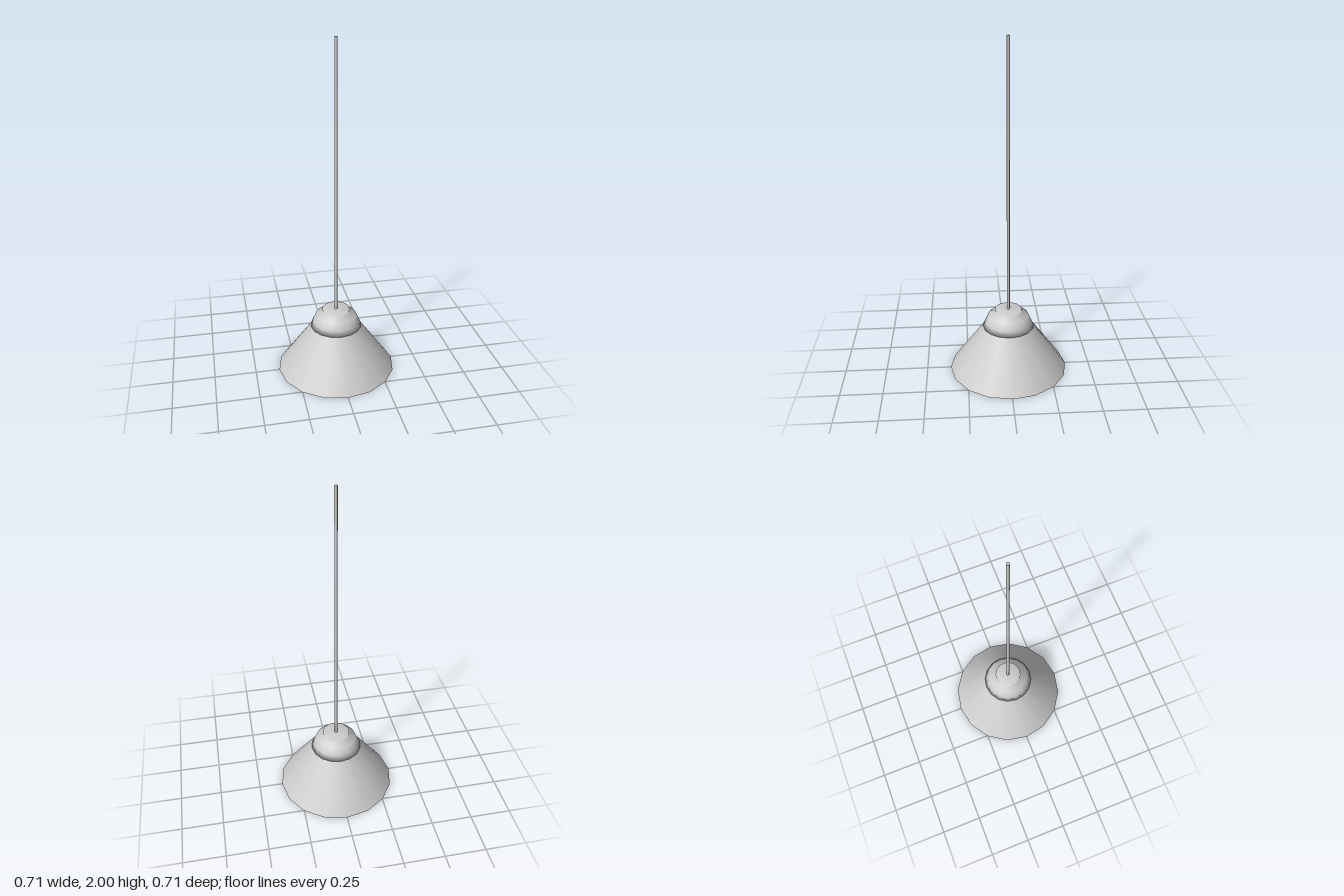
import * as THREE from 'three';

const SIDES = 16;

export function createModel() {
  const group = new THREE.Group();
  const material = new THREE.MeshStandardMaterial({ color: 0xcccccc, side: THREE.DoubleSide });

  const add = (name, geometry, y = 0) => {
    const mesh = new THREE.Mesh(geometry, material);
    mesh.name = name;
    mesh.position.y = y;
    group.add(mesh);
  };

  // Turned part from [radius, height] points, outer surface listed bottom to top
  const turned = (name, points) =>
    add(name, new THREE.LatheGeometry(points.map(([r, y]) => new THREE.Vector2(r, y)), SIDES));

  // Conical shade: sharp outer wall, flat lip, inner wall rounding into the lip
  turned('shadeOuter', [[0.356, 0], [0.152, 0.283]]);
  turned('shadeLip', [[0.332, 0.004], [0.356, 0]]);
  turned('shadeInner', [[0.13, 0.272], [0.314, 0.026], [0.332, 0.004]]);

  // Rounded cap closing the shade, running smoothly into the flat-topped collar
  turned('cap', [
    [0.1, 0.283], [0.154, 0.283], [0.14, 0.316], [0.122, 0.356],
    [0.081, 0.372], [0.082, 0.394], [0, 0.394],
  ]);

  // Thin round plate under the cap, with the stem that carries it
  turned('socketPlate', [[0, 0.165], [0.105, 0.165], [0.116, 0.175], [0.105, 0.188], [0, 0.188]]);
  turned('socketStem', [[0.05, 0.188], [0.05, 0.283]]);

  // Rounded bulb holder
  turned('bulbHolder', [[0.03, 0.1], [0.046, 0.108], [0.054, 0.126], [0.053, 0.148], [0.044, 0.165]]);

  // Round bulb
  add('bulb', new THREE.SphereGeometry(0.051, SIDES, 10), 0.068);

  // Hanging rod
  add('hangingRod', new THREE.CylinderGeometry(0.009, 0.009, 1.61, 8), 1.195);

  return group;
}
